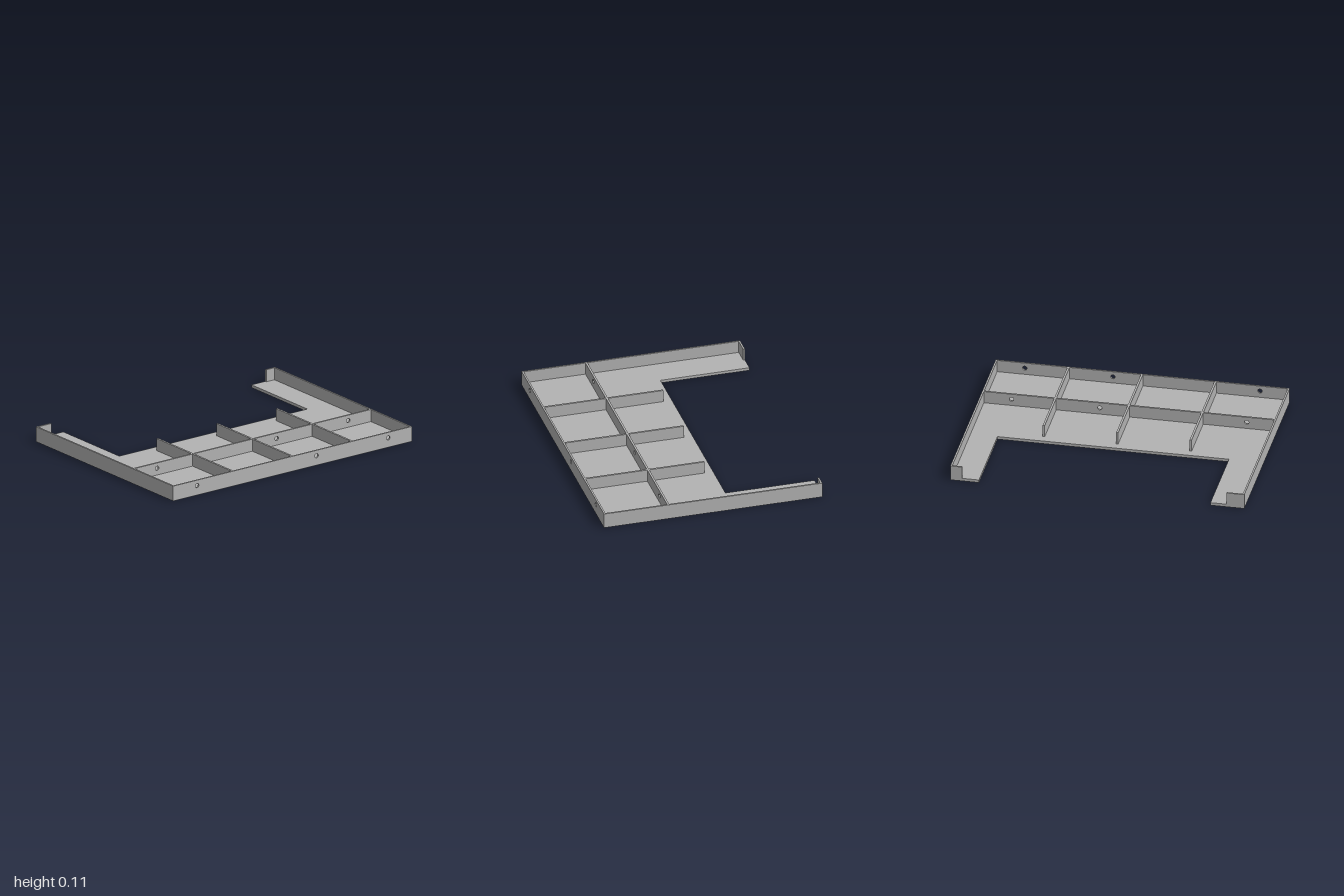
import * as THREE from 'three';

const X = 0.757, Z = 1, TOP = 0.105, FLOOR = 0.02, T = 0.012;

export function createModel() {
  const group = new THREE.Group();
  const grey = new THREE.MeshStandardMaterial({ color: 0xb2b2b2 });
  grey.name = 'plain grey';

  function add(name, geometry) {
    const mesh = new THREE.Mesh(geometry, grey);
    mesh.name = name;
    group.add(mesh);
  }

  // Upright panel standing on the floor between two corners
  function panel(name, x0, x1, z0, z1) {
    const g = new THREE.BoxGeometry(x1 - x0, TOP - FLOOR, z1 - z0);
    g.translate((x0 + x1) / 2, (TOP + FLOOR) / 2, (z0 + z1) / 2);
    add(name, g);
  }

  // Lengthwise panel pierced by three round cable holes
  function piercedPanel(name, x0, x1, halfLength) {
    const shape = new THREE.Shape([
      [-halfLength, FLOOR], [halfLength, FLOOR], [halfLength, TOP], [-halfLength, TOP],
    ].map(([u, v]) => new THREE.Vector2(u, v)));
    for (const z of [0.8, -0.2, -0.8]) {
      const hole = new THREE.Path();
      hole.absarc(-z, 0.067, 0.015, 0, Math.PI * 2, true);
      shape.holes.push(hole);
    }
    const g = new THREE.ExtrudeGeometry(shape, { depth: x1 - x0, bevelEnabled: false, curveSegments: 24 });
    g.rotateY(Math.PI / 2).translate(x0, 0, 0);
    add(name, g);
  }

  // C-shaped floor plate, drawn as x and -z
  const outline = [
    [-X, -Z], [X, -Z], [X, Z], [-X, Z], [-X, 0.805], [-0.14, 0.805], [-0.14, -0.77], [-X, -0.77],
  ].map(([x, y]) => new THREE.Vector2(x, y));
  const floor = new THREE.ExtrudeGeometry(new THREE.Shape(outline), { depth: FLOOR, bevelEnabled: false });
  floor.rotateX(-Math.PI / 2);
  add('floorPlate', floor);

  // Outer walls and the short returns at the arm ends
  piercedPanel('longWall', X - T, X, Z);
  panel('backWall', -X, X - T, -Z, -Z + T);
  panel('frontWall', -X, X - T, Z - T, Z);
  panel('backReturn', -X, -X + T, -Z + T, -0.92);
  panel('frontReturn', -X, -X + T, 0.88, Z - T);

  // Inner divider and the cross ribs on both sides of it
  piercedPanel('divider', 0.303, 0.317, Z - T);
  for (const z of [-0.503, -0.003, 0.497]) {
    panel('innerRib', 0.317, X - T, z - 0.007, z + 0.007);
    panel('openRib', -0.08, 0.303, z - 0.007, z + 0.007);
  }

  return group;
}
